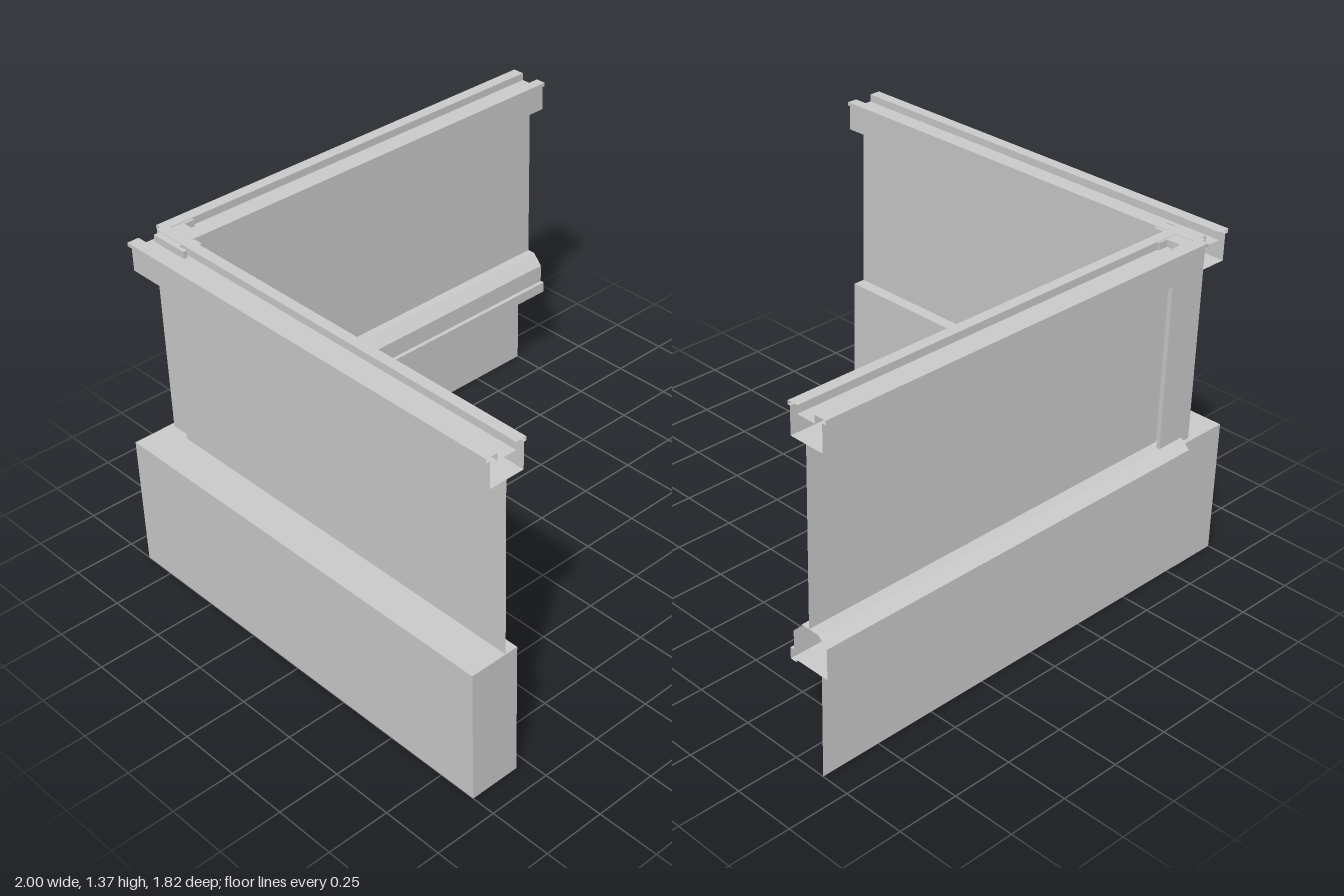
import * as THREE from 'three';

const material = new THREE.MeshStandardMaterial({ color: 0xcccccc, side: THREE.DoubleSide, flatShading: true });

// Hollow, open-ended profile [cross, y] swept along x or z
function sweep(name, profile, axis, from, to) {
  const [a, b] = axis === 'z' ? [from, to] : [to, from];
  const at = ([u, y], t) => (axis === 'z' ? [u, y, t] : [t, y, u]);
  const pos = [];
  profile.forEach((p, i) => {
    const q = profile[(i + 1) % profile.length];
    pos.push(...at(p, a), ...at(p, b), ...at(q, b), ...at(p, a), ...at(q, b), ...at(q, a));
  });
  const geometry = new THREE.BufferGeometry();
  geometry.setAttribute('position', new THREE.Float32BufferAttribute(pos, 3));
  geometry.computeVertexNormals();
  const mesh = new THREE.Mesh(geometry, material);
  mesh.name = name;
  return mesh;
}

// Thin upright sheet
function sheet(name, width, y0, y1, x, z, turned) {
  const mesh = new THREE.Mesh(new THREE.PlaneGeometry(width, y1 - y0), material);
  mesh.position.set(x, (y0 + y1) / 2, z);
  if (turned) mesh.rotation.y = Math.PI / 2;
  mesh.name = name;
  return mesh;
}

// Top rail: two lips over a channel, on a narrower body
const topRail = (c) => [
  [-0.085, 1.37], [-0.037, 1.37], [-0.037, 1.34], [0.042, 1.34], [0.042, 1.37], [0.085, 1.37],
  [0.085, 1.355], [0.075, 1.355], [0.075, 1.25], [-0.07, 1.25], [-0.07, 1.355], [-0.085, 1.355],
].map(([u, y]) => [c + u, y]);

// Middle rail: sloped top edges and a stepped front
const middleRail = [
  [-0.91, 0.41], [-0.91, 0.53], [-0.87, 0.565], [-0.79, 0.565], [-0.75, 0.52], [-0.75, 0.445],
  [-0.733, 0.445], [-0.733, 0.4], [-0.76, 0.4], [-0.76, 0.41],
];

// L-shaped corner post with a slot in the end of each arm, drawn as [x, z]
function cornerPost() {
  const outline = [
    [-0.834, -0.868], [-0.668, -0.868], [-0.668, -0.854], [-0.71, -0.854], [-0.71, -0.795],
    [-0.668, -0.795], [-0.668, -0.78], [-0.752, -0.78], [-0.752, -0.7], [-0.764, -0.7],
    [-0.764, -0.74], [-0.818, -0.74], [-0.818, -0.7], [-0.834, -0.7],
  ];
  const shape = new THREE.Shape(outline.map(([x, z]) => new THREE.Vector2(x, -z)));
  const geometry = new THREE.ExtrudeGeometry(shape, { depth: 1.368, bevelEnabled: false });
  geometry.rotateX(-Math.PI / 2);
  const mesh = new THREE.Mesh(geometry, material);
  mesh.name = 'cornerPost';
  return mesh;
}

export function createModel() {
  const model = new THREE.Group();
  model.name = 'cornerRailing';

  // Side run: solid low wall, panel and top rail
  const wall = new THREE.Mesh(new THREE.BoxGeometry(0.203, 0.545, 1.79), material);
  wall.position.set(-0.8985, 0.2725, 0.01);
  wall.name = 'lowWall';
  model.add(
    wall,
    sheet('sidePanel', 1.675, 0.545, 1.25, -0.85, 0.0675, true),
    sweep('sideTopRail', topRail(-0.85), 'z', -0.885, 0.905),
  );

  // Back run: upper and lower panels, top and middle rails
  model.add(
    sheet('backUpperPanel', 1.7, 0.565, 1.25, 0.15, -0.825),
    sheet('backLowerPanel', 1.797, 0, 0.41, 0.1015, -0.884),
    sweep('backTopRail', topRail(-0.829), 'x', -0.79, 1),
    sweep('backMiddleRail', middleRail, 'x', -0.79, 1),
  );

  model.add(cornerPost());
  return model;
}
